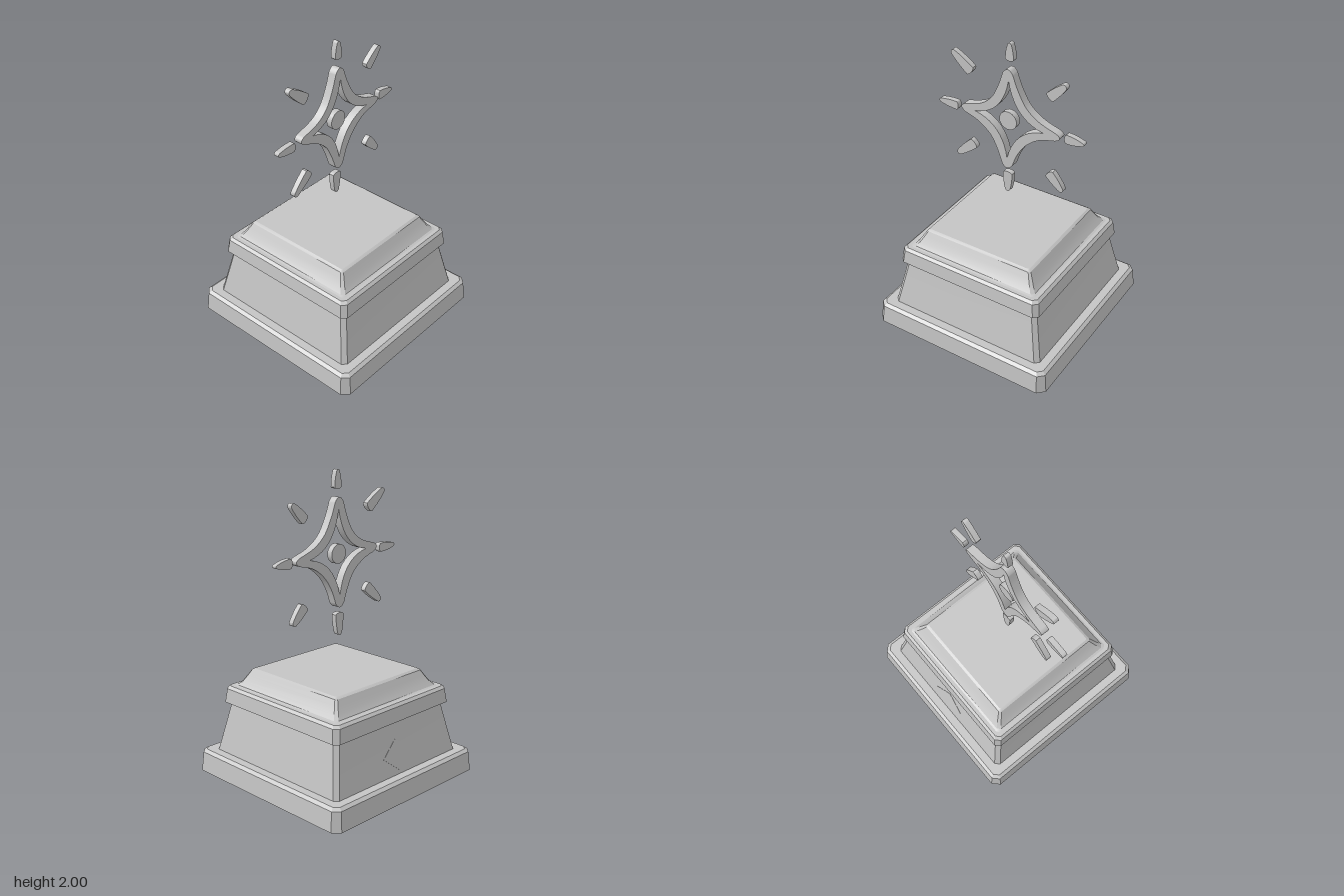
import * as THREE from 'three';
import { toCreasedNormals } from 'three/addons/utils/BufferGeometryUtils.js';

const stone = new THREE.MeshStandardMaterial({ color: 0xc4c4c4 });
stone.name = 'grey stone';

// Square loft with chamfered corners; each ring is [half width, height, chamfer]
function squareLoft(rings) {
  const pos = [], idx = [];
  for (const [h, y, c] of rings) {
    const k = h - c;
    for (const [x, z] of [[h, k], [h, -k], [k, -h], [-k, -h], [-h, -k], [-h, k], [-k, h], [k, h]]) pos.push(x, y, z);
  }
  for (let r = 0; r < rings.length - 1; r++) {
    for (let i = 0; i < 8; i++) {
      const a = r * 8 + i, b = r * 8 + (i + 1) % 8;
      idx.push(a, b, b + 8, a, b + 8, a + 8);
    }
  }
  const top = (rings.length - 1) * 8;
  for (let i = 1; i < 7; i++) {
    idx.push(0, i + 1, i);
    idx.push(top, top + i, top + i + 1);
  }
  const g = new THREE.BufferGeometry();
  g.setAttribute('position', new THREE.Float32BufferAttribute(pos, 3));
  g.setIndex(idx);
  return toCreasedNormals(g, 0.45);
}

function add(group, name, geometry) {
  const mesh = new THREE.Mesh(geometry, stone);
  mesh.name = name;
  group.add(mesh);
  return mesh;
}

// Extrusion centred on z = 0
function plate(shape, depth) {
  const g = new THREE.ExtrudeGeometry(shape, { depth, bevelEnabled: false, curveSegments: 10 });
  g.translate(0, 0, -depth / 2);
  return toCreasedNormals(g, 0.6);
}

const points = (list) => list.map(([x, y]) => new THREE.Vector2(x, y));

export function createModel() {
  const model = new THREE.Group();
  model.name = 'starTrophy';

  // Stepped pedestal
  const pedestal = new THREE.Group();
  pedestal.name = 'pedestal';
  model.add(pedestal);
  add(pedestal, 'baseSlab', squareLoft([[0.655, 0, 0.045], [0.642, 0.13, 0.04], [0.62, 0.147, 0.03]]));
  add(pedestal, 'taperedBody', squareLoft([[0.566, 0.14, 0.028], [0.53, 0.31, 0.027], [0.495, 0.48, 0.026]]));
  add(pedestal, 'capMoulding', squareLoft([
    [0.498, 0.47, 0.025], [0.528, 0.482, 0.03], [0.516, 0.575, 0.03], [0.498, 0.592, 0.025]]));
  add(pedestal, 'covedTop', squareLoft([
    [0.485, 0.588, 0.02], [0.46, 0.597, 0.02], [0.437, 0.625, 0.018], [0.41, 0.67, 0.015],
    [0.393, 0.699, 0.012], [0.376, 0.71, 0.01]]));

  // Flush diamond plaque on the back of the body
  const diamond = new THREE.Shape(points([[0.125, 0], [0, 0.1], [-0.135, 0], [0, -0.1]]));
  const plaque = add(pedestal, 'backDiamond', plate(diamond, 0.004));
  plaque.position.set(0, 0.27, -0.538);
  plaque.rotation.x = Math.atan(0.071 / 0.34);

  // Four-pointed star frame with concave sides and rounded tips
  const star = new THREE.Group();
  star.name = 'star';
  star.position.y = 1.47;
  model.add(star);
  const frame = new THREE.Shape();
  frame.moveTo(0.035, 0.33);
  frame.splineThru(points([[0.07, 0.24], [0.13, 0.137], [0.22, 0.068], [0.34, 0.026]]));
  frame.quadraticCurveTo(0.395, 0, 0.335, -0.027);
  frame.splineThru(points([[0.22, -0.062], [0.128, -0.133], [0.066, -0.225], [0.03, -0.318]]));
  frame.quadraticCurveTo(-0.01, -0.375, -0.045, -0.318);
  frame.splineThru(points([[-0.08, -0.225], [-0.13, -0.136], [-0.22, -0.066], [-0.32, -0.03]]));
  frame.quadraticCurveTo(-0.37, 0, -0.325, 0.026);
  frame.splineThru(points([[-0.2, 0.068], [-0.12, 0.137], [-0.068, 0.24], [-0.038, 0.33]]));
  frame.quadraticCurveTo(0, 0.39, 0.035, 0.33);
  const hole = new THREE.Path();
  hole.moveTo(0.004, 0.285);
  hole.quadraticCurveTo(-0.04, 0.035, -0.245, 0);
  hole.quadraticCurveTo(-0.04, -0.035, -0.008, -0.27);
  hole.quadraticCurveTo(0.045, -0.035, 0.255, 0);
  hole.quadraticCurveTo(0.045, 0.035, 0.004, 0.285);
  frame.holes.push(hole);
  add(star, 'starFrame', plate(frame, 0.056));

  // Centre disc
  const disc = add(star, 'centreDisc', new THREE.CylinderGeometry(0.063, 0.063, 0.04, 24));
  disc.rotation.x = Math.PI / 2;
  disc.position.x = -0.006;

  // Tapered rays: inner end x, y, outer end x, y, inner half width, outer half width
  const rays = [
    [0.002, 0.41, 0.002, 0.53, 0.029, 0.016],
    [-0.275, 0.255, -0.42, 0.368, 0.036, 0.02],
    [0.275, 0.245, 0.388, 0.358, 0.032, 0.02],
    [-0.382, -0.018, -0.528, -0.014, 0.029, 0.016],
    [0.39, 0.002, 0.524, 0, 0.031, 0.014],
    [-0.262, 0.748 - 1, -0.398, -0.375, 0.034, 0.02],
    [0.285, -0.282, 0.388, -0.392, 0.034, 0.02],
    [-0.012, -0.383, -0.014, -0.534, 0.034, 0.02],
  ];
  for (const [x0, y0, x1, y1, a, b] of rays) {
    const len = Math.hypot(x1 - x0, y1 - y0);
    const s = new THREE.Shape();
    s.moveTo(0.012, -a);
    s.quadraticCurveTo(len * 0.5, -a, len - 0.02, -b);
    s.bezierCurveTo(len + 0.006, -b * 0.8, len + 0.006, b * 0.8, len - 0.02, b);
    s.quadraticCurveTo(len * 0.5, a, 0.012, a);
    s.bezierCurveTo(-0.004, a * 0.8, -0.004, -a * 0.8, 0.012, -a);
    const ray = add(star, 'ray', plate(s, 0.036));
    ray.position.set(x0, y0, -0.003);
    ray.rotation.z = Math.atan2(y1 - y0, x1 - x0);
  }
  return model;
}
